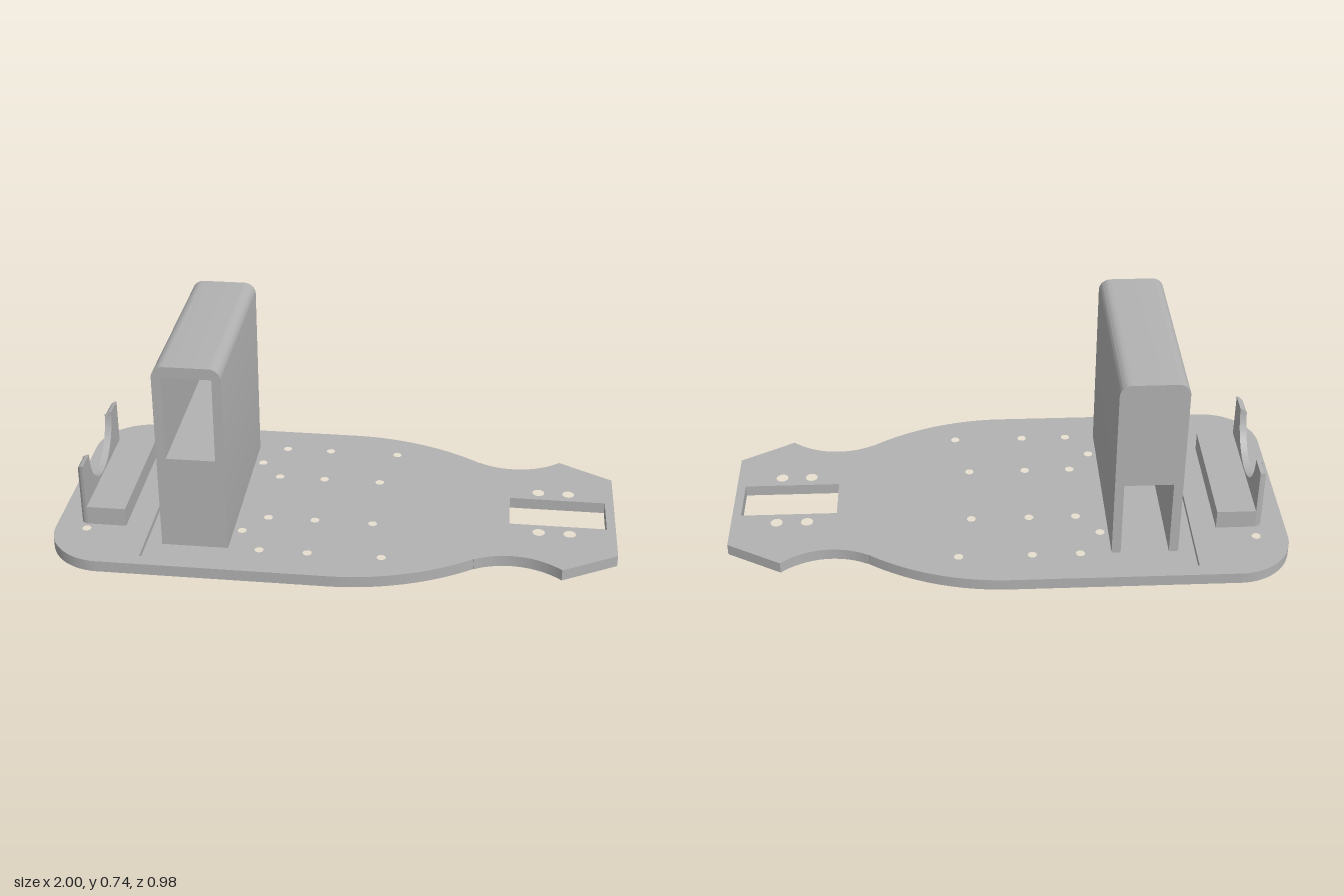
import * as THREE from 'three';
import { toCreasedNormals } from 'three/addons/utils/BufferGeometryUtils.js';

const T = 0.042; // plate thickness

function rectPath(x0, y0, x1, y1) {
  return new THREE.Path([[x0, y0], [x1, y0], [x1, y1], [x0, y1]].map(p => new THREE.Vector2(...p)));
}

function extrude(shape, depth, steps = 1) {
  return new THREE.ExtrudeGeometry(shape, { depth, steps, curveSegments: 24, bevelEnabled: false });
}

// Half of the plate outline, from the rounded end to the narrow end
function halfOutline() {
  const half = new THREE.Path();
  half.moveTo(-1, 0.29);
  half.absarc(-0.8, 0.29, 0.2, Math.PI, Math.PI / 2, true);
  half.lineTo(0, 0.49);
  half.absarc(0, -0.37, 0.86, Math.PI / 2, Math.PI / 2 - 0.62, true);
  half.absarc(0.63, 0.557, 0.26, Math.atan2(-0.227, -0.13), Math.atan2(-0.192, 0.175), false);
  half.lineTo(1, 0.255);
  return half.getPoints(24);
}

function plateGeometry() {
  const side = halfOutline();
  const mirrored = side.map(p => new THREE.Vector2(p.x, -p.y)).reverse();
  const shape = new THREE.Shape([...side, ...mirrored]);
  shape.holes.push(rectPath(0.62, -0.088, 0.968, 0.088)); // end cut-out
  shape.holes.push(rectPath(-0.66, -0.44, -0.597, 0.44)); // groove
  const r = 0.016, R = 0.022;
  const screws = [
    [-0.887, 0.287, r], [-0.33, 0.24, r],
    [-0.25, 0.356, r], [-0.08, 0.356, r], [0.18, 0.356, r],
    [-0.25, 0.144, r], [-0.08, 0.144, r], [0.13, 0.144, r],
    [0.725, 0.135, R], [0.835, 0.135, R],
  ];
  for (const [x, z, rad] of screws) {
    for (const s of [1, -1]) {
      const hole = new THREE.Path();
      hole.absarc(x, s * z, rad, 0, Math.PI * 2, true);
      shape.holes.push(hole);
    }
  }
  return extrude(shape, T).rotateX(Math.PI / 2).translate(0, T, 0);
}

// Slice of the tower: optional upper window and lower doorway
function towerSlice(z0, z1, upper, lower) {
  const x0 = -0.596, x1 = -0.36, top = 0.743, r = 0.042;
  const s = new THREE.Shape();
  s.moveTo(x0, T);
  if (lower) {
    s.lineTo(-0.563, T);
    s.lineTo(-0.563, 0.335);
    s.lineTo(-0.392, 0.335);
    s.lineTo(-0.392, T);
  }
  s.lineTo(x1, T);
  s.lineTo(x1, top - r);
  s.absarc(x1 - r, top - r, r, 0, Math.PI / 2, false);
  s.lineTo(x0 + r, top);
  s.absarc(x0 + r, top - r, r, Math.PI / 2, Math.PI, false);
  s.closePath();
  if (upper) s.holes.push(rectPath(-0.563, 0.392, -0.392, 0.703));
  return extrude(s, z1 - z0).translate(0, 0, z0);
}

// Upright with a half-round cut; its outer edges are rounded off
function cradleWall() {
  const zc = 0.012, w = 0.245, top = 0.28, r = 0.025, cut = 0.16;
  const s = new THREE.Shape();
  s.moveTo(-w, T);
  s.lineTo(w, T);
  s.lineTo(w, top);
  s.lineTo(cut, top);
  s.absarc(0, top, cut, 0, Math.PI, true);
  s.lineTo(-w, top);
  s.closePath();
  const g = extrude(s, 1, 8);
  const p = g.attributes.position;
  for (let i = 0; i < p.count; i++) {
    const a = p.getZ(i) * Math.PI / 2;
    const inset = r * (1 - Math.cos(a));
    const x = p.getX(i), y = p.getY(i);
    if (Math.abs(x) > w - 0.001) p.setX(i, Math.sign(x) * (w - inset));
    if (y > top - 0.001) p.setY(i, top - inset);
    p.setZ(i, r * Math.sin(a));
  }
  return g.rotateY(-Math.PI / 2).translate(-0.89, 0, zc);
}

export function createModel() {
  const grey = new THREE.MeshStandardMaterial({ color: 0xb2b2b2 });
  grey.name = 'grey';
  const model = new THREE.Group();
  model.name = 'mountingBase';

  const add = (name, geometry, parent = model) => {
    const mesh = new THREE.Mesh(toCreasedNormals(geometry, 0.5), grey);
    mesh.name = name;
    parent.add(mesh);
  };

  add('basePlate', plateGeometry());
  add('grooveFloor', new THREE.BoxGeometry(0.063, 0.021, 0.88).translate(-0.6285, 0.0105, 0));

  // Tower: upper pocket opens to the front, lower pocket to the back
  const tower = new THREE.Group();
  tower.name = 'tower';
  model.add(tower);
  add('towerBack', towerSlice(-0.357, -0.325, false, true), tower);
  add('towerMiddle', towerSlice(-0.325, 0.325, true, true), tower);
  add('towerFront', towerSlice(0.325, 0.357, true, false), tower);

  // Cradle
  const cradle = new THREE.Group();
  cradle.name = 'cradle';
  model.add(cradle);
  add('cradleFoot', new THREE.BoxGeometry(0.14, 0.07, 0.49).translate(-0.82, T + 0.035, 0.012), cradle);
  add('cradleWall', cradleWall(), cradle);

  return model;
}
